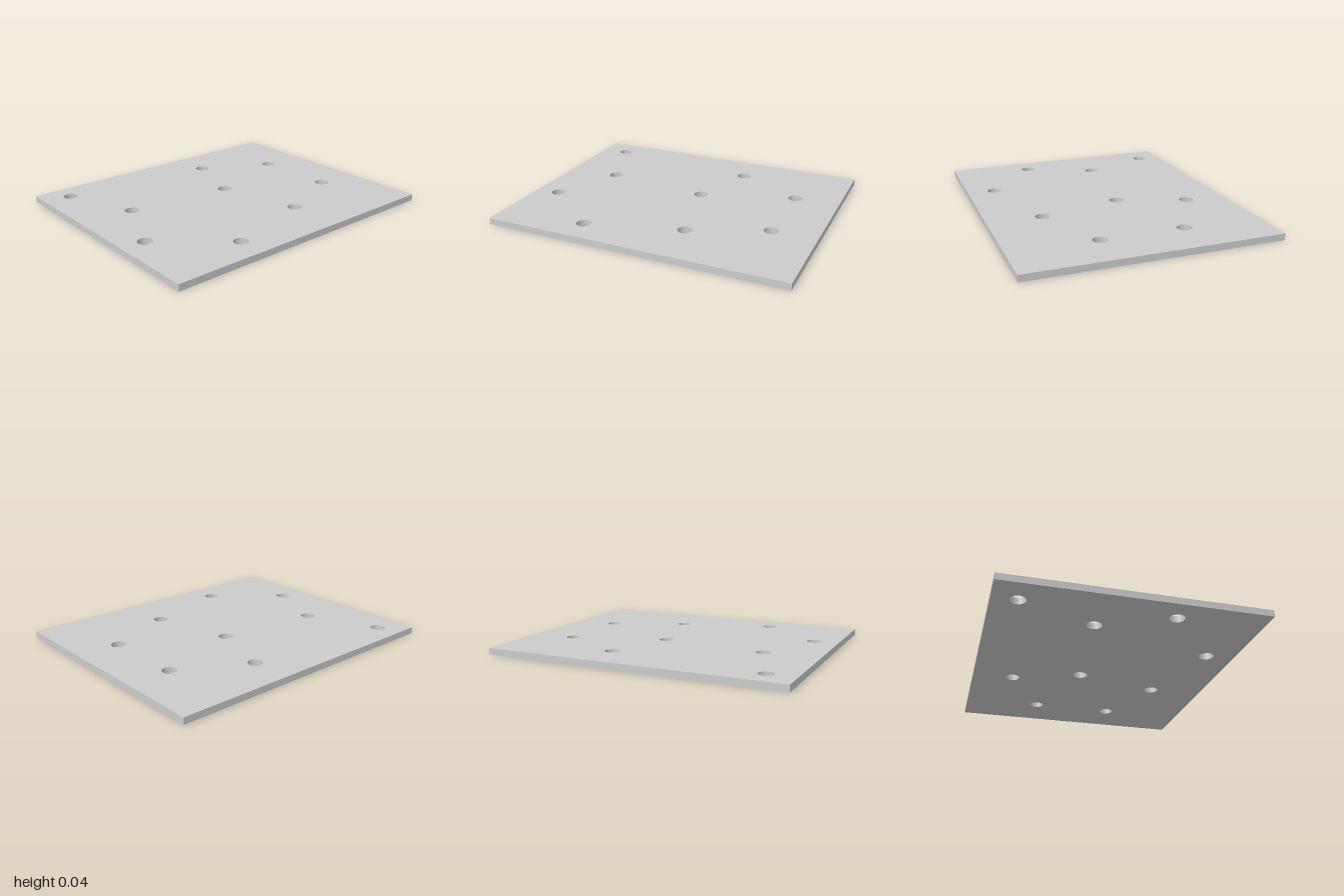
import * as THREE from 'three';
import { toCreasedNormals } from 'three/addons/utils/BufferGeometryUtils.js';

const HALF_WIDTH = 1, HALF_DEPTH = 0.82, THICKNESS = 0.043, HOLE_RADIUS = 0.048;

// Hole centres as [x, z]
const HOLES = [
  [-0.817, -0.665], [0.24, -0.55], [0.702, -0.3],
  [-0.635, -0.18], [0.085, -0.1], [-0.838, 0.273],
  [0.705, 0.25], [0.214, 0.46], [-0.408, 0.634],
];

export function createModel() {
  const group = new THREE.Group();
  group.name = 'perforatedPlate';

  // Rectangular outline with round through-holes
  const outline = new THREE.Shape([
    new THREE.Vector2(-HALF_WIDTH, -HALF_DEPTH),
    new THREE.Vector2(HALF_WIDTH, -HALF_DEPTH),
    new THREE.Vector2(HALF_WIDTH, HALF_DEPTH),
    new THREE.Vector2(-HALF_WIDTH, HALF_DEPTH),
  ]);
  for (const [x, z] of HOLES) {
    outline.holes.push(new THREE.Path().absarc(x, z, HOLE_RADIUS, 0, Math.PI * 2, true));
  }

  // Laid flat: shape y becomes z, extrusion runs downward from the top face
  const geometry = new THREE.ExtrudeGeometry(outline, {
    depth: THICKNESS, bevelEnabled: false, curveSegments: 40,
  });
  geometry.rotateX(Math.PI / 2).translate(0, THICKNESS, 0);

  const plate = new THREE.Mesh(
    toCreasedNormals(geometry, Math.PI / 6),
    new THREE.MeshStandardMaterial({ color: 0xcccccc }),
  );
  plate.name = 'plate';
  group.add(plate);
  return group;
}
